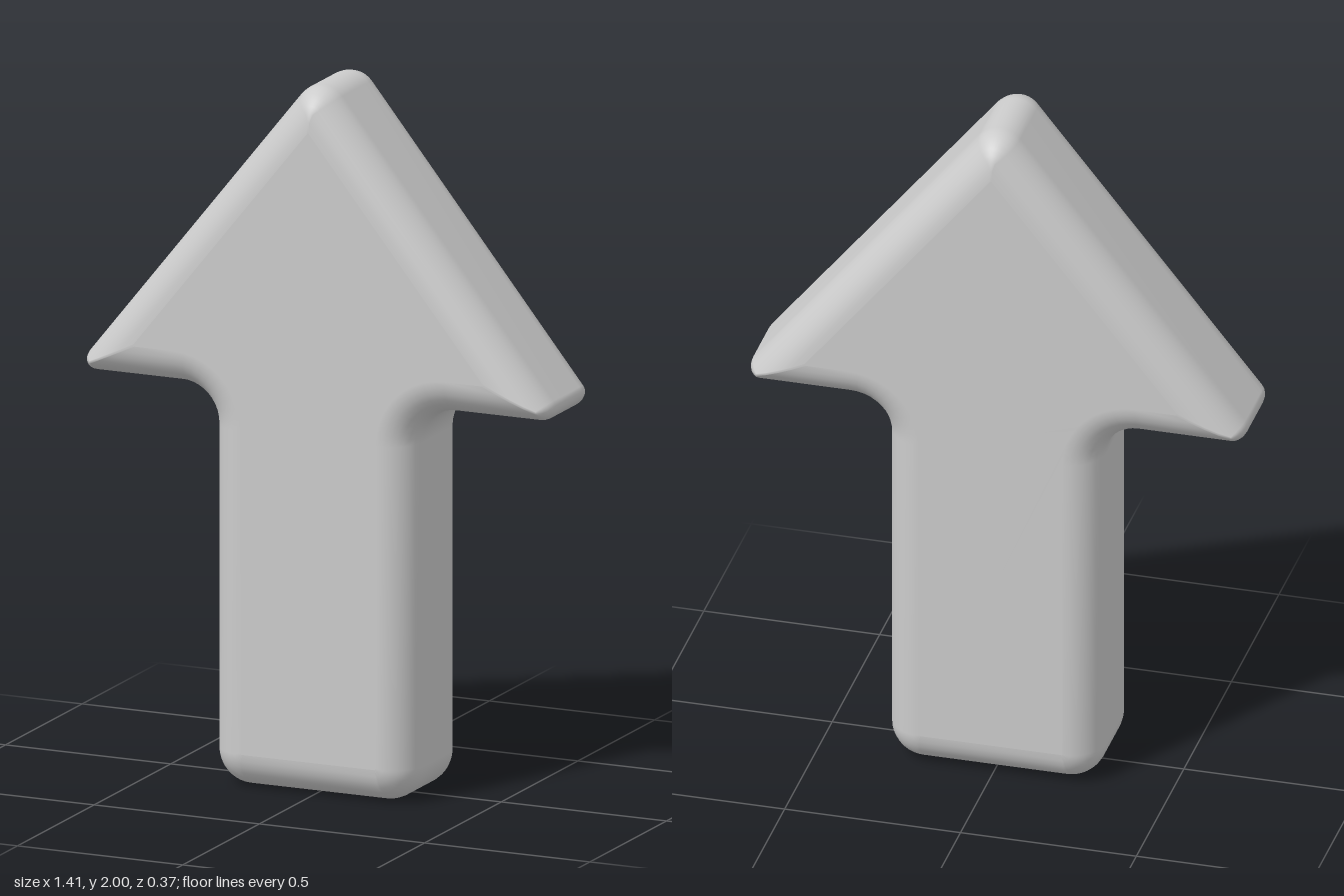
import * as THREE from 'three';

const HALF_DEPTH = 0.183, BEVEL = 0.1, BEVEL_STEPS = 8, ARC_STEPS = 10;

// Sharp outline corners, counter-clockwise: x, y, rounding radius, inner corner?
const rightHalf = [
  [0.304, 0, 0.1, false],        // stem foot
  [0.304, 1.122, 0.105, true],   // stem meets head
  [0.742, 1.122, 0.034, false],  // barb
];
const corners = [
  ...rightHalf,
  [0, 2.044, 0.075, false],      // tip
  ...[...rightHalf].reverse().map(([x, y, r, inner]) => [-x, y, r, inner]),
];

// Rounded arrow outline, moved inward by d; every call gives the same point count
function outline(d) {
  const points = [];
  const n = corners.length;
  const inward = (a, b) => new THREE.Vector2(a[1] - b[1], b[0] - a[0]).normalize();
  corners.forEach((c, i) => {
    const [x, y, radius, inner] = c;
    const n1 = inward(corners[(i + n - 1) % n], c);
    const n2 = inward(c, corners[(i + 1) % n]);
    const mitre = n1.clone().add(n2).divideScalar(1 + n1.dot(n2));
    // Outer corners tighten as the outline shrinks, inner corners widen
    const r = inner ? -(radius + d) : Math.max(radius - d, 0.004);
    const centre = new THREE.Vector2(x, y).addScaledVector(mitre, d + r);
    const turn = Math.atan2(n1.cross(n2), n1.dot(n2));
    for (let k = 0; k <= ARC_STEPS; k++) {
      const dir = n1.clone().rotateAround(new THREE.Vector2(), (turn * k) / ARC_STEPS);
      points.push(centre.clone().addScaledVector(dir, -r));
    }
  });
  return points;
}

function arrowGeometry() {
  // Rounded edge profile from the front face to the back face
  const profile = [];
  for (let k = 0; k <= BEVEL_STEPS; k++) {
    const a = (k / BEVEL_STEPS) * Math.PI / 2;
    profile.push([BEVEL * (1 - Math.sin(a)), HALF_DEPTH - BEVEL * (1 - Math.cos(a))]);
  }
  profile.push(...[...profile].reverse().map(([d, z]) => [d, -z]));

  const rings = profile.map(([d]) => outline(d));
  const count = rings[0].length;
  const positions = [], index = [];
  rings.forEach((ring, j) => ring.forEach((p) => positions.push(p.x, p.y, profile[j][1])));

  // Side and rounded edges
  for (let j = 0; j < rings.length - 1; j++) {
    for (let i = 0; i < count; i++) {
      const i2 = (i + 1) % count;
      const a = j * count + i, b = a + count;
      const e = j * count + i2, c = e + count;
      index.push(a, b, c, a, c, e);
    }
  }

  // Flat front and back faces
  const last = (rings.length - 1) * count;
  for (const [a, b, c] of THREE.ShapeUtils.triangulateShape(rings[0], [])) {
    index.push(a, b, c, last + a, last + c, last + b);
  }

  const geometry = new THREE.BufferGeometry();
  geometry.setAttribute('position', new THREE.Float32BufferAttribute(positions, 3));
  geometry.setIndex(index);
  geometry.computeVertexNormals();
  return geometry;
}

export function createModel() {
  const group = new THREE.Group();
  group.name = 'arrow';
  const body = new THREE.Mesh(arrowGeometry(), new THREE.MeshStandardMaterial({ color: 0xcccccc }));
  body.name = 'arrowBody';
  group.add(body);
  return group;
}
